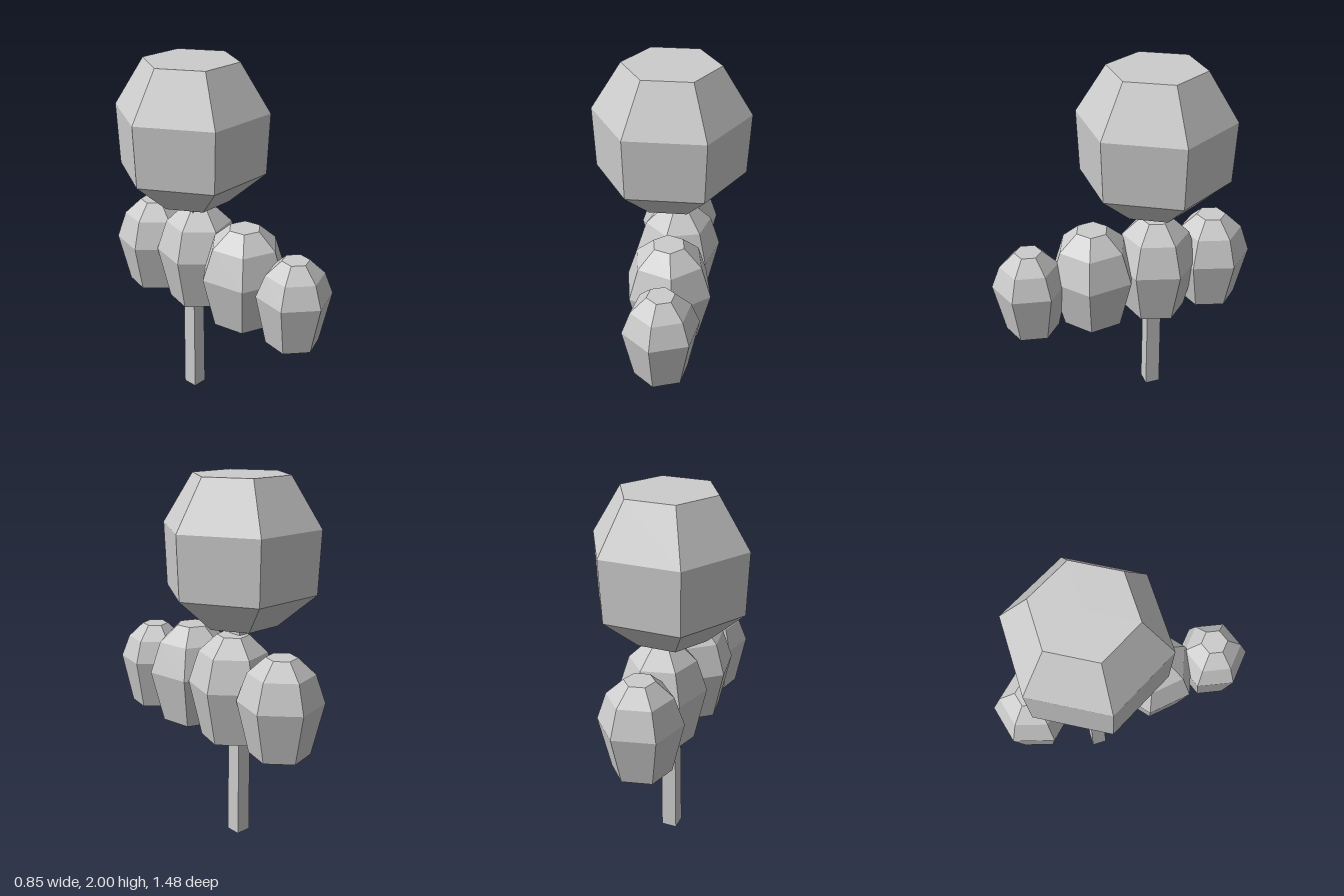
import * as THREE from 'three';

const gray = new THREE.MeshStandardMaterial({ color: 0xcccccc, flatShading: true, side: THREE.DoubleSide });
gray.name = 'plain gray';

// Faceted shell, open below, from [radius, height] rings; angle is that of one corner, from +x towards +z
function shell(name, rings, sides, angle, x, z) {
  const points = rings.map(([r, y]) => new THREE.Vector2(r, y));
  const start = THREE.MathUtils.degToRad(90 - angle);
  const mesh = new THREE.Mesh(new THREE.LatheGeometry(points, sides, start), gray);
  mesh.name = name;
  mesh.position.set(x, 0, z);
  return mesh;
}

// Bush with its widest ring at height mid, standing at a shared base height
function bush(name, x, z, radius, mid, top, angle) {
  const base = 0.595;
  return shell(name, [
    [radius * 0.71, base],
    [radius, mid],
    [radius * 0.77, base + (top - base) * 0.835],
    [radius * 0.36, top],
    [0, top],
  ], 6, angle, x, z);
}

export function createModel() {
  const model = new THREE.Group();
  model.name = 'tree';

  // Slim square trunk
  model.add(shell('trunk', [[0.061, 0], [0.054, 1.3]], 4, 41, 0, -0.18));

  // Large six-sided crown
  model.add(shell('crown', [
    [0.205, 1.225], [0.41, 1.405], [0.424, 1.74], [0.26, 2], [0, 2],
  ], 6, -4.2, 0, -0.18));

  // Row of bushes from front to back
  model.add(bush('frontBush', 0.072, 0.532, 0.205, 0.878, 1.08, 37));
  model.add(bush('frontMiddleBush', 0.051, 0.18, 0.25, 0.888, 1.15, 17));
  model.add(bush('backMiddleBush', 0.045, -0.18, 0.24, 0.902, 1.17, -18));
  model.add(bush('backBush', 0, -0.517, 0.228, 0.88, 1.12, -18));

  return model;
}
